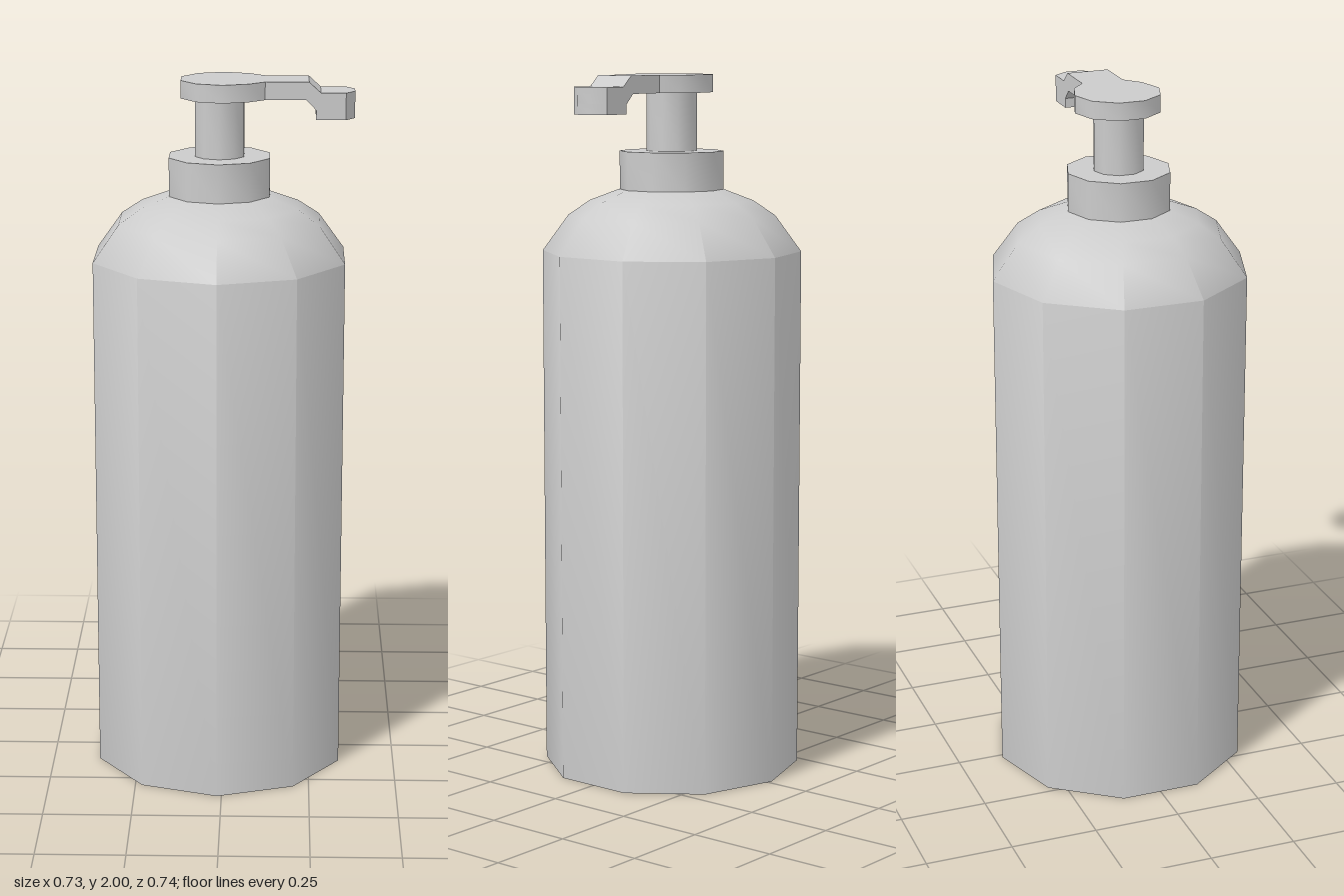
import * as THREE from 'three';
import { toCreasedNormals } from 'three/addons/utils/BufferGeometryUtils.js';

const SIDES = 10;
const CREASE = THREE.MathUtils.degToRad(42);
const AXIS_X = -0.013;

const v = (pairs) => pairs.map(([x, y]) => new THREE.Vector2(x, y));

export function createModel() {
  const group = new THREE.Group();
  const material = new THREE.MeshStandardMaterial({ color: 0xcccccc });

  const add = (name, geometry, parent = group) => {
    const mesh = new THREE.Mesh(toCreasedNormals(geometry, CREASE), material);
    mesh.name = name;
    parent.add(mesh);
    return mesh;
  };

  // Ten-sided turned parts, with a corner facing the front
  const turned = (name, profile) => {
    add(name, new THREE.LatheGeometry(v(profile), SIDES)).position.x = AXIS_X;
  };

  // Plan outline (x, z) raised from y0 to y1
  const slab = (outline, y0, y1, hole) => {
    const shape = new THREE.Shape(v(outline));
    if (hole) shape.holes.push(new THREE.Path(v(hole)));
    const g = new THREE.ExtrudeGeometry(shape, { depth: y1 - y0, bevelEnabled: false });
    return g.rotateX(-Math.PI / 2).translate(0, y0, 0);
  };

  // Bottle with rounded shoulder
  turned('bottle', [
    [0, 0], [0.37, 0], [0.37, 1.5], [0.295, 1.603],
    [0.232, 1.645], [0.15, 1.676], [0, 1.676],
  ]);

  // Collar and pump stem
  turned('collar', [[0, 1.67], [0.148, 1.67], [0.148, 1.785], [0, 1.785]]);
  turned('pumpStem', [[0, 1.78], [0.072, 1.78], [0.072, 1.955], [0, 1.955]]);

  const head = new THREE.Group();
  head.name = 'pumpHead';
  group.add(head);

  // Press plate: decagon whose +x side widens to meet the spout
  const plate = [[0.114, -0.06], [0.114, 0.06]];
  for (let i = 1; i < SIDES - 1; i++) {
    const a = ((i + 0.5) / SIDES) * Math.PI * 2;
    plate.push([-0.003 + 0.123 * Math.cos(a), 0.123 * Math.sin(a)]);
  }
  add('pressPlate', slab(plate, 1.95, 2), head);

  // Spout arm: side profile with a downward step
  const arm = new THREE.Shape(v([
    [0.114, 1.95], [0.228, 1.95], [0.255, 1.922], [0.255, 1.97],
    [0.268, 1.97], [0.235, 2], [0.114, 2],
  ]));
  const armGeometry = new THREE.ExtrudeGeometry(arm, { depth: 0.12, bevelEnabled: false });
  add('spoutArm', armGeometry.translate(0, 0, -0.06), head);

  // Spout tip: solid top over a hollow rim open below
  const tip = [[0.255, -0.06], [0.337, -0.06], [0.363, -0.023], [0.363, 0.023], [0.337, 0.06], [0.255, 0.06]];
  const opening = tip.map(([x, z]) => [0.308 + (x - 0.308) * 0.74, z * 0.74]);
  add('spoutTip', slab(tip, 1.925, 1.97), head);
  add('spoutRim', slab(tip, 1.895, 1.925, opening), head);

  return group;
}
